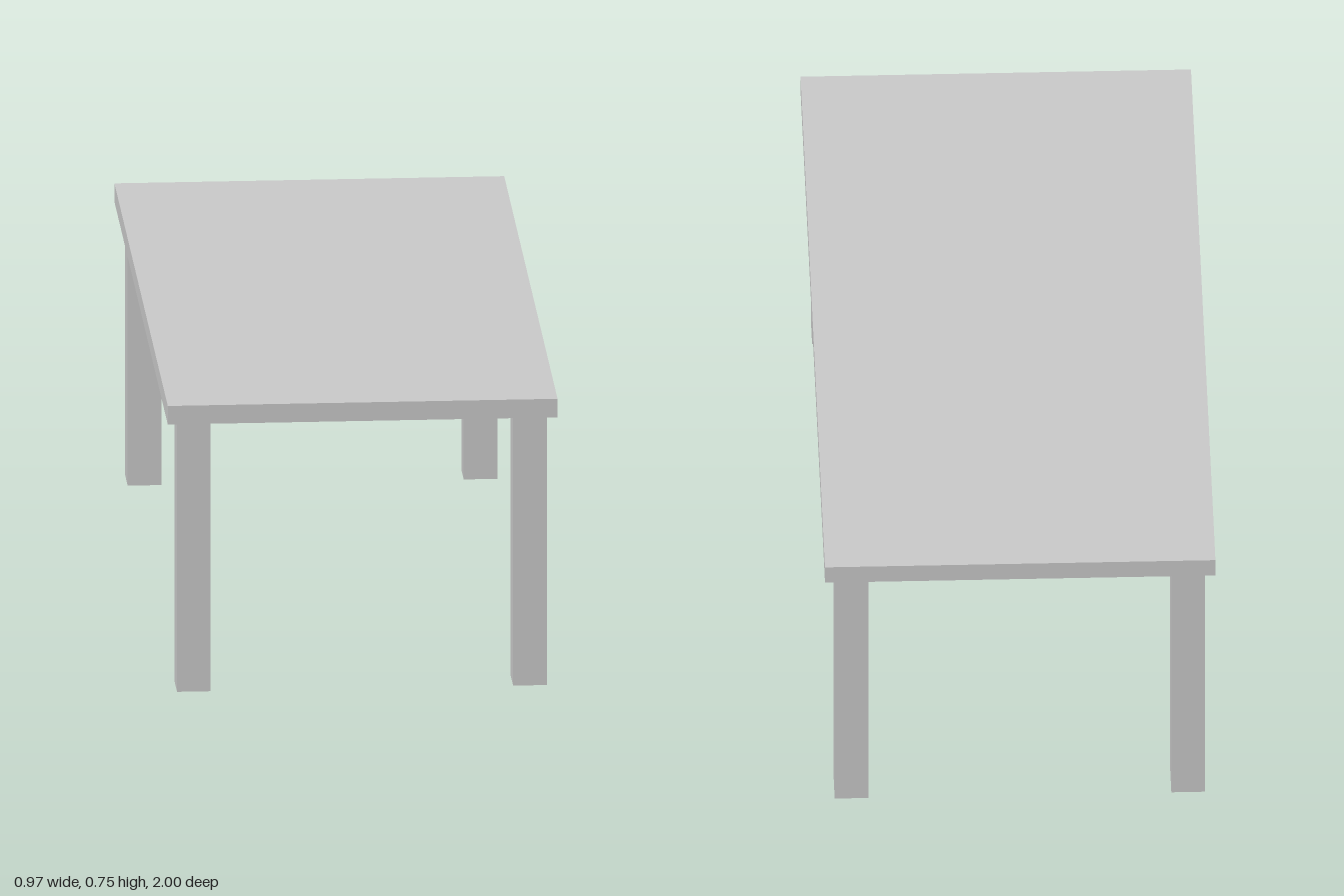
import * as THREE from 'three';

const WIDTH = 0.972, LENGTH = 2, HEIGHT = 0.749, TOP = 0.048;
const LEG_W = 0.084, LEG_D = 0.091;   // leg section
const LEG_X = 0.419, LEG_Z = 0.926;   // leg centres

export function createModel() {
  const table = new THREE.Group();
  table.name = 'table';
  const material = new THREE.MeshStandardMaterial({ color: 0xcccccc });

  const addBox = (name, size, position) => {
    const mesh = new THREE.Mesh(new THREE.BoxGeometry(...size), material);
    mesh.name = name;
    mesh.position.set(...position);
    table.add(mesh);
  };

  // Flat slab top
  addBox('tableTop', [WIDTH, TOP, LENGTH], [0, HEIGHT - TOP / 2, 0]);

  // Four square legs, mirrored across both axes
  const legHeight = HEIGHT - TOP;
  for (const [end, sz] of [['front', 1], ['back', -1]]) {
    for (const [side, sx] of [['Left', 1], ['Right', -1]]) {
      addBox(`${end}${side}Leg`, [LEG_W, legHeight, LEG_D],
        [sx * LEG_X, legHeight / 2, sz * LEG_Z]);
    }
  }

  return table;
}
